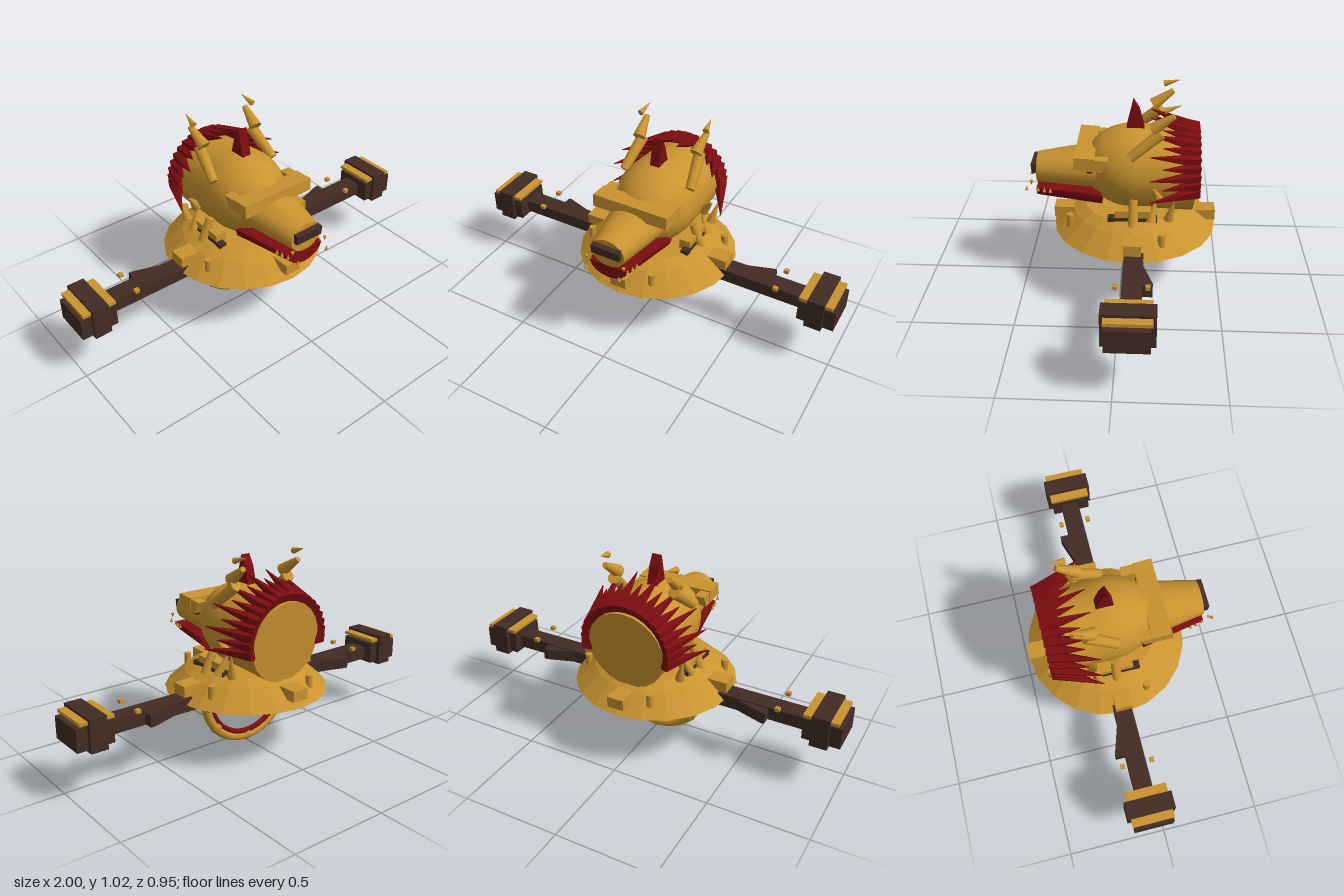
import * as THREE from 'three';

const flat = (name, color) => {
  const m = new THREE.MeshStandardMaterial({ color });
  m.name = name;
  return m;
};

export function createModel() {
  const root = new THREE.Group();
  root.name = 'beastHeadEmblem';
  const gold = flat('gold', 0xc9932f);
  const red = flat('darkRed', 0x7c0c10);
  const dark = flat('darkBrown', 0x412c23);
  const CZ = -0.07; // depth of the bar, ring and collar axis

  const add = (name, geo, mat, pos = [0, 0, 0], rot = [0, 0, 0]) => {
    const m = new THREE.Mesh(geo, mat);
    m.name = name;
    m.position.set(...pos);
    m.rotation.set(...rot);
    root.add(m);
    return m;
  };
  // box given by its minimum and maximum corners
  const box = (name, mat, a, b, rot) => add(name,
    new THREE.BoxGeometry(...a.map((v, i) => b[i] - v)), mat, a.map((v, i) => (v + b[i]) / 2), rot);
  // tapered rod from p (radius r1) to q (radius r2)
  const rod = (name, mat, p, q, r1, r2, sides = 12, sharp = false) => {
    const a = new THREE.Vector3(...p), b = new THREE.Vector3(...q);
    const d = b.clone().sub(a);
    let geo = new THREE.CylinderGeometry(r2, r1, d.length(), sides);
    if (sharp) {
      geo = geo.toNonIndexed();
      geo.computeVertexNormals();
    }
    const m = add(name, geo, mat, a.add(b).multiplyScalar(0.5).toArray());
    m.quaternion.setFromUnitVectors(new THREE.Vector3(0, 1, 0), d.normalize());
    return m;
  };
  // side outline in (z, y) extruded across x
  const sidePlate = (name, mat, pts, width, x = 0) => {
    const shape = new THREE.Shape(pts.map(([z, y]) => new THREE.Vector2(-z, y)));
    const geo = new THREE.ExtrudeGeometry(shape, { depth: width, bevelEnabled: false });
    geo.translate(0, 0, -width / 2);
    return add(name, geo, mat, [x, 0, 0], [0, Math.PI / 2, 0]);
  };

  // Collar
  const collarGeo = new THREE.LatheGeometry([[0, 0.315], [0.41, 0.315], [0.31, 0.405], [0.25, 0.44], [0, 0.44]]
    .map(p => new THREE.Vector2(...p)), 20).toNonIndexed();
  collarGeo.computeVertexNormals();
  add('collar', collarGeo, gold, [0, 0, CZ + 0.005]);
  for (let i = 0; i < 4; i++) {
    const a = i * Math.PI / 2, s = a + 0.41;
    add('collarBlock', new THREE.BoxGeometry(0.085, 0.055, 0.11), gold,
      [Math.sin(a) * 0.352, 0.378, CZ + 0.005 + Math.cos(a) * 0.352], [0, a, 0]);
    add('collarStud', new THREE.CylinderGeometry(0.018, 0.018, 0.07, 10), gold,
      [Math.sin(s) * 0.345, 0.385, CZ + 0.005 + Math.cos(s) * 0.345]);
  }

  // Skull, neck and snout
  add('skull', new THREE.SphereGeometry(0.21, 24, 16), gold, [0, 0.635, -0.06]).scale.z = 1.2;
  rod('neck', gold, [0, 0.635, -0.06], [0, 0.61, -0.365], 0.21, 0.2, 24);
  const snout = new THREE.CylinderGeometry(0.09, 0.165, 0.38, 20);
  snout.rotateX(Math.PI / 2);
  const sp = snout.attributes.position;
  for (let i = 0; i < sp.count; i++) {
    const front = sp.getZ(i) > 0;
    sp.setY(i, sp.getY(i) * (front ? 0.83 : 0.7) + (front ? 0.615 : 0.638));
  }
  snout.computeVertexNormals();
  add('snout', snout, gold, [0, 0, 0.23]);
  add('nose', new THREE.BoxGeometry(0.15, 0.048, 0.03), dark, [0, 0.635, 0.43], [0.12, 0, 0]);

  // Lower jaw, a tapered half round
  const jaw = new THREE.CylinderGeometry(0.1, 0.165, 0.325, 16);
  jaw.rotateX(Math.PI / 2);
  const jp = jaw.attributes.position;
  for (let i = 0; i < jp.count; i++) {
    const y = jp.getY(i);
    jp.setY(i, y > 0 ? 0 : y * (jp.getZ(i) > 0 ? 0.7 : 0.6));
  }
  jaw.computeVertexNormals();
  add('lowerJaw', jaw, red, [0, 0.542, 0.258]);

  // Brow
  box('brow', gold, [-0.2, 0.69, 0.125], [0.2, 0.755, 0.222], [-0.06, 0, 0]);

  for (const s of [-1, 1]) {
    // Brow wings and eyes
    sidePlate('browWing', gold, [[0.22, 0.75], [0.06, 0.742], [0.09, 0.682], [0.21, 0.69]], 0.05, s * 0.173);
    add('eye', new THREE.SphereGeometry(0.025, 12, 8), dark, [s * 0.145, 0.678, 0.15]);

    // Teeth
    for (const [x, y, z, up] of [[0.09, 0.538, 0.47, 1], [0.1, 0.572, 0.443, -1], [0.1, 0.54, 0.412, 1],
      [0.11, 0.54, 0.38, 1], [0.115, 0.54, 0.35, 1]])
      add('tooth', new THREE.ConeGeometry(0.009, 0.025, 8), gold, [s * x, y, z], [up < 0 ? Math.PI : 0, 0, 0]);

    // Segmented horns
    rod('hornBase', gold, [s * 0.185, 0.755, -0.045], [s * 0.16, 0.875, -0.19], 0.024, 0.03);
    rod('hornMiddle', gold, [s * 0.158, 0.895, -0.15], [s * 0.168, 0.965, -0.25], 0.032, 0.014);
    rod('hornTip', gold, [s * 0.18, 0.997, -0.203], [s * 0.17, 1.021, -0.28], 0.016, 0.001);

    // Neck fins and collar details
    rod('cheekSpike', gold, [s * 0.22, 0.45, -0.235], [s * 0.245, 0.565, -0.26], 0.025, 0.002, 8);
    rod('cheekSpike', gold, [s * 0.2, 0.55, -0.18], [s * 0.25, 0.625, -0.16], 0.028, 0.006, 8);
    rod('cheekSpike', gold, [s * 0.24, 0.44, -0.15], [s * 0.2, 0.53, -0.17], 0.025, 0.006, 8);
    rod('collarPost', gold, [s * 0.25, 0.42, -0.063], [s * 0.2, 0.54, -0.063], 0.026, 0.021, 10);
    box('collarClamp', gold, [s * 0.2 - 0.03, 0.43, -0.15], [s * 0.2 + 0.03, 0.492, 0.025]);
    box('collarInset', dark, [s * 0.215 - 0.02, 0.435, -0.18], [s * 0.215 + 0.02, 0.457, 0.06]);

    // Bar ends
    const span = (name, mat, x0, x1, y0, y1, z0, z1) =>
      box(name, mat, [Math.min(s * x0, s * x1), y0, z0], [Math.max(s * x0, s * x1), y1, z1]);
    span('endBlock', dark, 0.815, 1, 0.265, 0.375, -0.163, 0.035);
    span('endBand', dark, 0.86, 0.945, 0.253, 0.415, -0.185, 0.053);
    span('endTrim', gold, 0.815, 0.985, 0.386, 0.402, -0.17, 0.038);
    for (const z of [-0.145, 0.003])
      add('barStud', new THREE.BoxGeometry(0.024, 0.018, 0.022), gold, [s * 0.685, 0.372, z]);

    // Swept fin on the rear of the bar
    const fin = new THREE.Shape([[0.4, 0.1], [0.63, 0.1], [0.63, 0.165], [0.61, 0.165], [0.47, 0.12]]
      .map(([x, y]) => new THREE.Vector2(s * x, y)));
    add('barFin', new THREE.ExtrudeGeometry(fin, { depth: 0.06, bevelEnabled: false }), dark,
      [0, 0.342, 0], [Math.PI / 2, 0, 0]).scale.y = -1;
    root.children.at(-1).geometry.scale(1, -1, 1);
    root.children.at(-1).scale.y = 1;
    root.children.at(-1).material = finMaterial(dark);
  }

  // Cross bar
  box('crossBar', dark, [-0.83, 0.28, -0.118], [0.83, 0.347, -0.025]);
  box('barCentre', dark, [-0.285, 0.25, -0.13], [0.285, 0.315, -0.01]);

  // Crest and mane
  sidePlate('crest', red, [[-0.02, 0.83], [-0.055, 0.98], [-0.085, 0.93], [-0.112, 0.83]], 0.05);
  const spikes = 19;
  for (let i = 0; i < spikes; i++) {
    const a = -0.12 + (Math.PI + 0.24) * i / (spikes - 1);
    const c = Math.cos(a), n = Math.sin(a);
    const tip = i % 2 ? 0.285 : 0.315;
    rod('maneSpike', red, [c * 0.205, 0.62 + n * 0.2, -0.37], [c * tip, 0.62 + n * (tip - 0.02), i % 2 ? -0.2 : -0.14],
      0.036, 0.002, 5, true);
  }

  // Hanging ring with red lining and joints
  const half = (R, t) => new THREE.TorusGeometry(R, t, 10, 32, Math.PI);
  add('ring', half(0.255, 0.024), gold, [0, 0.285, CZ + 0.005], [0, 0, Math.PI]);
  add('ringLining', half(0.228, 0.014), red, [0, 0.285, CZ - 0.002], [0, 0, Math.PI]);
  for (const a of [-0.87, 0, 0.87])
    add('ringJoint', new THREE.SphereGeometry(0.033, 12, 10), gold,
      [Math.sin(a) * 0.25, 0.285 - Math.cos(a) * 0.25, CZ + 0.005]).scale.z = 0.8;

  return root;
}

// material hook for the bar fins, kept single for the shared colour
function finMaterial(material) {
  material.side = THREE.DoubleSide;
  return material;
}
